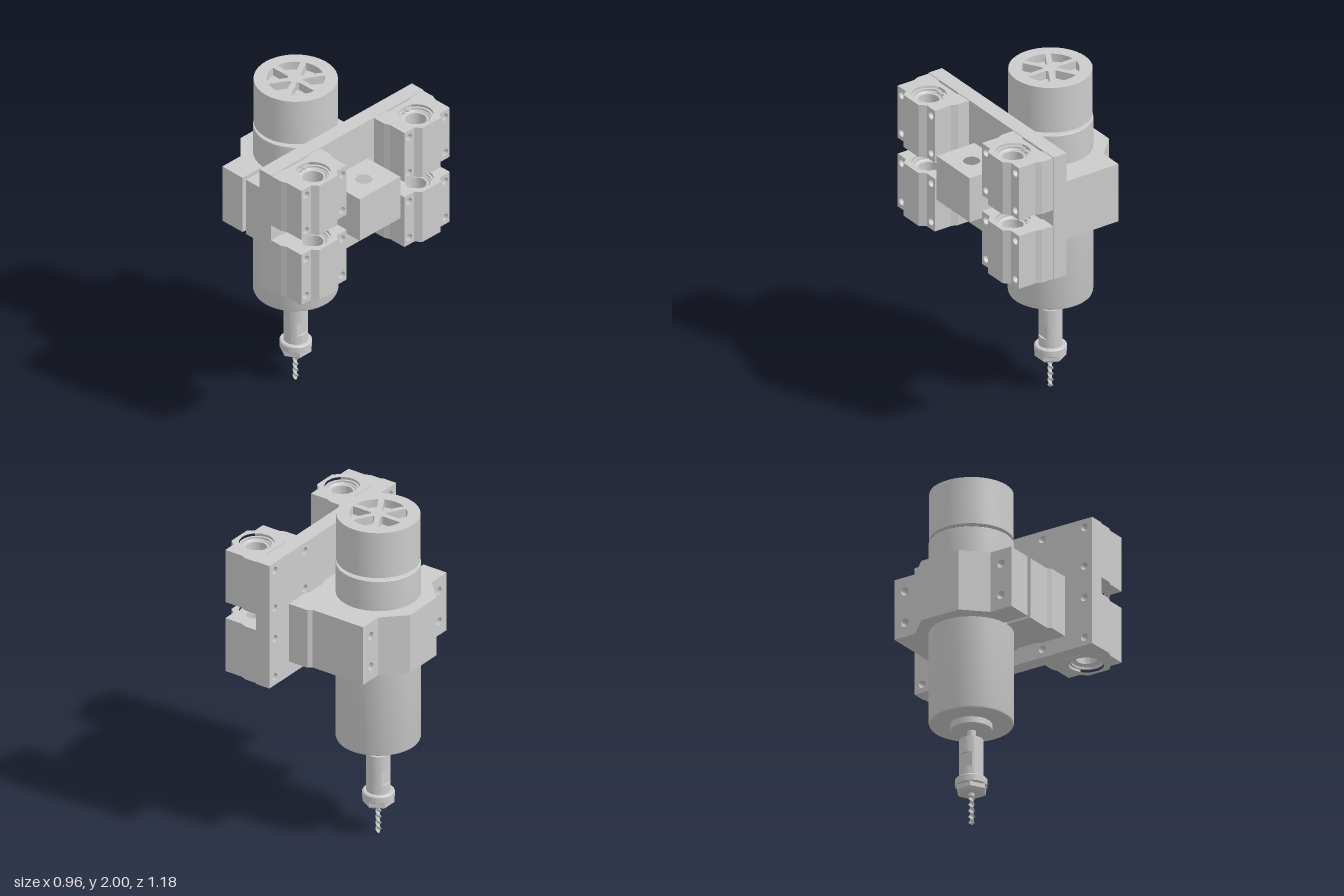
import * as THREE from 'three';
import { toCreasedNormals } from 'three/addons/utils/BufferGeometryUtils.js';

const AXIS_X = -0.175; // spindle axis
const HOLE_ROWS = [1.78, 1.545, 1.355, 1.115];

export function createModel() {
  const root = new THREE.Group();
  const mat = new THREE.MeshStandardMaterial({ color: 0xcccccc });

  function add(name, geo, x = 0, y = 0, z = 0, parent = root) {
    const mesh = new THREE.Mesh(geo, mat);
    mesh.name = name;
    mesh.position.set(x, y, z);
    parent.add(mesh);
    return mesh;
  }
  function group(name, x = 0, y = 0, z = 0) {
    const g = new THREE.Group();
    g.name = name;
    g.position.set(x, y, z);
    root.add(g);
    return g;
  }

  const polygon = (pts) => new THREE.Shape(pts.map(([a, b]) => new THREE.Vector2(a, -b)));
  const circle = (x, y, r) => new THREE.Path().absarc(x, y, r, 0, Math.PI * 2, true);
  const extrude = (shape, depth) =>
    new THREE.ExtrudeGeometry(shape, { depth, bevelEnabled: false, curveSegments: 20 });

  // Plan outline (x, z) raised from y0 to y1
  function extrudeY(shape, y0, y1) {
    return toCreasedNormals(extrude(shape, y1 - y0).rotateX(-Math.PI / 2).translate(0, y0, 0), 0.3);
  }
  // Rectangle in z and y with round holes [z, y, r], running from x0 to x1
  function drilledSlab(x0, x1, z0, z1, y0, y1, holes) {
    const shape = new THREE.Shape([[-z1, y0], [-z0, y0], [-z0, y1], [-z1, y1]].map((p) => new THREE.Vector2(...p)));
    holes.forEach(([z, y, r]) => shape.holes.push(circle(-z, y, r)));
    return toCreasedNormals(extrude(shape, x1 - x0).rotateY(Math.PI / 2).translate(x0, 0, 0), 0.3);
  }
  function lathe(pts, segments = 64) {
    return toCreasedNormals(new THREE.LatheGeometry(pts.map((p) => new THREE.Vector2(...p)), segments), 0.4);
  }

  // ---- Spindle motor ----
  const spindle = group('spindle', AXIS_X);
  add('motorBody', lathe([[0, 0.605], [0.222, 0.605], [0.231, 0.609], [0.235, 0.62], [0.235, 1.697],
    [0.232, 1.7], [0, 1.7]]), 0, 0, 0, spindle);
  add('bottomCollar', lathe([[0, 0.565], [0.11, 0.565], [0.115, 0.57], [0.115, 0.61], [0, 0.61]]), 0, 0, 0, spindle);
  add('fanShaft', new THREE.CylinderGeometry(0.025, 0.025, 0.06, 24), 0, 1.71, 0, spindle);
  add('fanCover', lathe([[0, 1.72], [0.232, 1.72], [0.232, 1.95], [0, 1.95]]), 0, 0, 0, spindle);

  // Cover top with six fan-shaped pockets between straight spokes
  const grille = new THREE.Shape().absarc(0, 0, 0.232, 0, Math.PI * 2, false);
  for (let i = 0; i < 6; i++) {
    const mid = Math.PI / 6 + (i * Math.PI) / 3;
    const half = (r) => Math.PI / 6 - Math.asin(0.016 / r);
    const pocket = new THREE.Path();
    pocket.absarc(0, 0, 0.16, mid - half(0.16), mid + half(0.16), false);
    pocket.absarc(0, 0, 0.043, mid + half(0.043), mid - half(0.043), true);
    pocket.closePath();
    grille.holes.push(pocket);
  }
  add('fanGrille', extrudeY(grille, 1.95, 2), 0, 0, 0, spindle);

  // ---- Collet holder, nut and drill ----
  add('outputShaft', new THREE.CylinderGeometry(0.025, 0.025, 0.08, 24), 0, 0.535, 0, spindle);
  add('colletHolderTop', lathe([[0, 0.415], [0.067, 0.415], [0.067, 0.51], [0, 0.51]], 40), 0, 0, 0, spindle);
  add('colletHolderBottom', lathe([[0, 0.26], [0.067, 0.26], [0.067, 0.33], [0, 0.33]], 40), 0, 0, 0, spindle);
  const a = Math.acos(0.053 / 0.067);
  const flats = new THREE.Shape();
  flats.absarc(0, 0, 0.067, a, Math.PI - a, false);
  flats.absarc(0, 0, 0.067, Math.PI + a, 2 * Math.PI - a, false);
  add('wrenchFlats', extrudeY(flats, 0.33, 0.415), 0, 0, 0, spindle);
  add('nutCollar', lathe([[0, 0.225], [0.082, 0.225], [0.09, 0.232], [0.09, 0.268], [0.083, 0.275], [0, 0.275]], 48),
    0, 0, 0, spindle);
  add('hexNut', toCreasedNormals(new THREE.CylinderGeometry(0.089, 0.089, 0.03, 6), 0.3), 0, 0.215, 0, spindle);
  add('hexNutChamfer', toCreasedNormals(new THREE.CylinderGeometry(0.089, 0.073, 0.012, 6), 0.3), 0, 0.194, 0, spindle);
  add('drillShank', new THREE.CylinderGeometry(0.017, 0.017, 0.03, 24), 0, 0.185, 0, spindle);

  // Flattened rod twisted along its length, narrowing to the tip
  const drill = new THREE.CylinderGeometry(0.017, 0.017, 0.175, 20, 70).translate(0, 0.0875, 0);
  const pos = drill.attributes.position;
  for (let i = 0; i < pos.count; i++) {
    const y = pos.getY(i), t = y * 85, s = Math.min(1, 0.15 + y / 0.012);
    const x = pos.getX(i) * s, z = pos.getZ(i) * s * 0.45;
    pos.setXYZ(i, x * Math.cos(t) - z * Math.sin(t), y, x * Math.sin(t) + z * Math.cos(t));
  }
  drill.computeVertexNormals();
  add('drillBit', drill, 0, 0, 0, spindle);

  // ---- Clamp around the motor ----
  const clamp = group('clamp');
  const [c0, c1] = [1.155, 1.515];
  add('clampCore', extrudeY(polygon([[-0.48, -0.125], [-0.355, -0.25], [0.135, -0.25], [0.12, -0.235],
    [0.12, -0.105], [0.135, -0.085], [0.135, 0.085], [0.12, 0.105], [0.12, 0.235], [0.135, 0.25],
    [-0.17, 0.25], [-0.17, 0.2], [-0.197, 0.2], [-0.197, 0.25], [-0.355, 0.25], [-0.48, 0.125]]), c0, c1),
  0, 0, 0, clamp);
  const boltHoles = (z) => [[z, 1.43, 0.024], [z, 1.24, 0.024]];
  add('backFlange', drilledSlab(-0.355, 0.135, -0.39, -0.25, c0, c1, boltHoles(-0.32)), 0, 0, 0, clamp);
  add('frontFlangeOuter', drilledSlab(-0.355, -0.197, 0.25, 0.39, c0, c1, boltHoles(0.32)), 0, 0, 0, clamp);
  add('frontFlangeInner', drilledSlab(-0.17, 0.135, 0.25, 0.39, c0, c1, boltHoles(0.32)), 0, 0, 0, clamp);
  for (const s of [-1, 1]) {
    add('flangeStep', extrudeY(polygon([[-0.01, 0.39 * s], [0.01, 0.41 * s], [0.135, 0.41 * s], [0.135, 0.39 * s]]),
      c0, c1), 0, 0, 0, clamp);
  }

  // ---- Carriage plate ----
  const plateHoles = [];
  for (const s of [-1, 1]) {
    plateHoles.push([0.32 * s, 1.43, 0.024]);
    for (const z of [0.26, 0.54]) for (const y of HOLE_ROWS) plateHoles.push([z * s, y, 0.022]);
  }
  add('carriagePlate', drilledSlab(0.135, 0.225, -0.592, 0.592, 1.065, 1.83, plateHoles));

  // ---- Lead screw nut block, counterbored from below ----
  const nutBlock = group('screwNutBlock');
  for (const [y0, y1, r] of [[1.31, 1.40, 0.085], [1.40, 1.585, 0.047]]) {
    const shape = polygon([[0.225, -0.157], [0.48, -0.157], [0.48, 0.157], [0.225, 0.157]]);
    shape.holes.push(circle(0.355, 0, r));
    add('screwNutSection', extrudeY(shape, y0, y1), 0, 0, 0, nutBlock);
  }

  // ---- Four linear bearing blocks ----
  const BORE_X = 0.36, BORE_R = 0.097;
  const core = polygon([[0.225, -0.1], [0.445, -0.1], [0.48, -0.07], [0.48, 0.07], [0.445, 0.1],
    [0.225, 0.1], [0.235, 0.085], [0.235, -0.085]]);
  core.holes.push(circle(BORE_X, 0, BORE_R));

  // Retaining ring, open towards the plate, with two eyelets
  const clip = new THREE.Shape();
  clip.absarc(0, 0, BORE_R, -Math.PI + 0.12, Math.PI - 0.12, false);
  clip.absarc(0, 0, 0.084, Math.PI - 0.12, -Math.PI + 0.12, true);
  const eyelet = new THREE.Shape().absarc(0, 0, 0.012, 0, Math.PI * 2, false);
  eyelet.holes.push(circle(0, 0, 0.006));

  for (const z of [-0.4, 0.4]) {
    for (const [y0, y1, rows] of [[1.5, 1.826, HOLE_ROWS.slice(0, 2)], [1.069, 1.4, HOLE_ROWS.slice(2)]]) {
      const block = group('bearingBlock', 0, 0, z);
      add('blockCore', extrudeY(core, y0, y1), 0, 0, 0, block);
      for (const s of [-1, 1]) {
        const [za, zb] = s > 0 ? [0.1, 0.176] : [-0.176, -0.1];
        add('blockFlange', drilledSlab(0.225, 0.445, za, zb, y0, y1, rows.map((y) => [0.14 * s, y, 0.022])),
          0, 0, 0, block);
        add('blockFoot', extrudeY(polygon([[0.225, 0.176 * s], [0.335, 0.176 * s], [0.3, 0.19 * s],
          [0.225, 0.19 * s]]), y0, y1), 0, 0, 0, block);
      }
      const [b0, b1] = [y0 + 0.025, y1 - 0.025];
      add('linearBearing', lathe([[0.058, b0 + 0.008], [0.07, b0 + 0.008], [0.078, b0], [BORE_R, b0], [BORE_R, b1],
        [0.078, b1], [0.07, b1 - 0.008], [0.058, b1 - 0.008], [0.058, b0 + 0.008]], 48), BORE_X, 0, 0, block);
      for (const y of [b0 - 0.01, b1]) {
        add('retainingRing', extrudeY(clip, y, y + 0.01), BORE_X, 0, 0, block);
        for (const s of [-1, 1]) {
          add('ringEyelet', extrudeY(eyelet, y, y + 0.01), BORE_X - 0.081, 0, 0.015 * s, block);
        }
      }
    }
  }
  return root;
}
